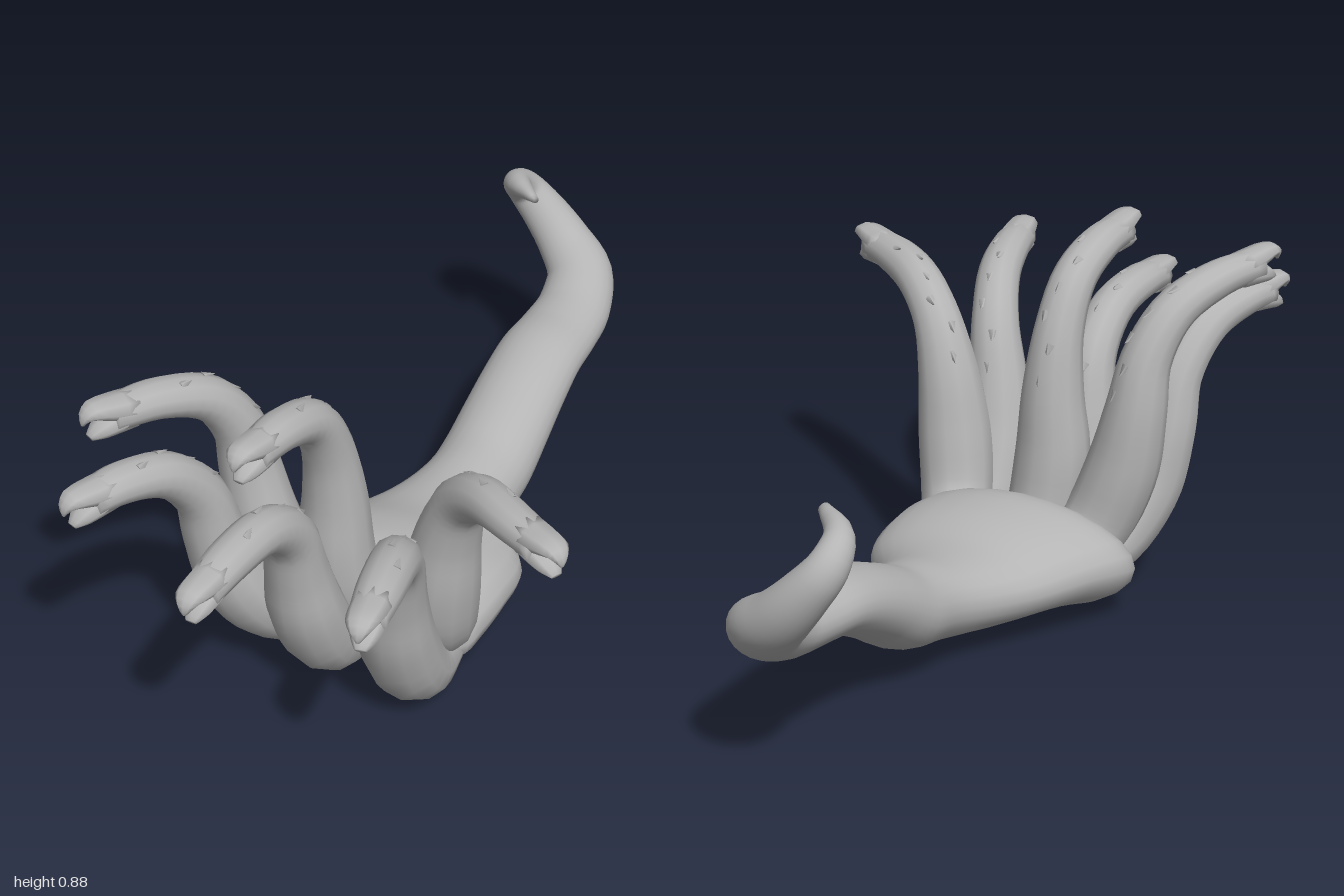
import * as THREE from 'three';

const V = (x, y, z) => new THREE.Vector3(x, y, z);

// Frames along a path of [x, y, z, halfWidth, halfHeight] sections, with the side vector carried along.
function framesAlong(sections, side, count) {
  const path = new THREE.CatmullRomCurve3(sections.map(s => V(s[0], s[1], s[2])));
  const size = new THREE.CatmullRomCurve3(sections.map(s => V(s[3], s[4], 0)), false, 'catmullrom', 0.5);
  const frames = [];
  let carried = side.clone();
  for (let i = 0; i <= count; i++) {
    const t = i / count;
    const dir = path.getTangent(t);
    carried = carried.clone().addScaledVector(dir, -carried.dot(dir)).normalize();
    const r = size.getPoint(t);
    frames.push({
      p: path.getPoint(t), dir, side: carried, up: carried.clone().cross(dir),
      w: Math.max(r.x, 0.002), h: Math.max(r.y, 0.002),
    });
  }
  return frames;
}

// Smooth skin over elliptical rings, closed at both ends.
function skin(frames, radial) {
  const pos = [], idx = [];
  for (const f of frames) {
    for (let j = 0; j < radial; j++) {
      const a = (j / radial) * Math.PI * 2;
      const q = f.p.clone()
        .addScaledVector(f.side, Math.cos(a) * f.w)
        .addScaledVector(f.up, Math.sin(a) * f.h);
      pos.push(q.x, q.y, q.z);
    }
  }
  const last = frames.length - 1;
  for (let i = 0; i < last; i++) {
    for (let j = 0; j < radial; j++) {
      const k = (j + 1) % radial;
      const a = i * radial + j, b = (i + 1) * radial + j;
      const c = i * radial + k, d = (i + 1) * radial + k;
      idx.push(a, b, c, c, b, d);
    }
  }
  const p0 = frames[0].p, p1 = frames[last].p, n = pos.length / 3;
  pos.push(p0.x, p0.y, p0.z, p1.x, p1.y, p1.z);
  for (let j = 0; j < radial; j++) {
    const k = (j + 1) % radial;
    idx.push(n, j, k, n + 1, last * radial + k, last * radial + j);
  }
  const g = new THREE.BufferGeometry();
  g.setAttribute('position', new THREE.Float32BufferAttribute(pos, 3));
  g.setIndex(idx);
  g.computeVertexNormals();
  return g;
}

export function createModel() {
  const model = new THREE.Group();
  const hide = new THREE.MeshStandardMaterial({ color: 0xb4b4b4 });
  hide.name = 'grey hide';

  const add = (parent, name, geometry) => {
    const mesh = new THREE.Mesh(geometry, hide);
    mesh.name = name;
    parent.add(mesh);
    return mesh;
  };

  // Wide, low body running back into the tail that curls up and over
  const trunk = [
    [-0.115, 0.11, 0.33, 0.15, 0.06],
    [-0.115, 0.12, 0.3, 0.275, 0.115],
    [-0.115, 0.14, 0.23, 0.3, 0.138],
    [-0.093, 0.15, 0.12, 0.281, 0.122],
    [-0.068, 0.138, 0, 0.235, 0.106],
    [-0.078, 0.142, -0.1, 0.168, 0.102],
    [-0.083, 0.16, -0.2, 0.126, 0.1],
    [-0.085, 0.182, -0.3, 0.12, 0.098],
    [-0.085, 0.235, -0.4, 0.116, 0.09],
    [-0.087, 0.283, -0.5, 0.112, 0.083],
    [-0.09, 0.316, -0.6, 0.108, 0.074],
    [-0.09, 0.325, -0.7, 0.102, 0.068],
    [-0.095, 0.34, -0.8, 0.095, 0.07],
    [-0.125, 0.385, -0.89, 0.085, 0.07],
    [-0.19, 0.44, -0.93, 0.07, 0.062],
    [-0.255, 0.51, -0.938, 0.058, 0.053],
    [-0.302, 0.575, -0.92, 0.047, 0.044],
    [-0.295, 0.62, -0.865, 0.034, 0.034],
    [-0.21, 0.64, -0.79, 0.01, 0.014],
  ];
  const trunkFrames = framesAlong(trunk, V(1, 0, 0), 72);
  // Keep the broad body rings upright and square to the centre line
  for (const f of trunkFrames) {
    const upright = THREE.MathUtils.smoothstep(f.p.z, -0.4, -0.1);
    f.side.lerp(V(1, 0, 0), upright).normalize();
    f.up.lerp(V(0, 1, 0), upright).normalize();
  }
  add(model, 'bodyAndTail', skin(trunkFrames, 24));

  // Neck paths: three in the back row, three in the front row
  const necks = {
    backRightNeck: [[-0.24, 0.13, 0.25], [-0.28, 0.21, 0.325], [-0.33, 0.35, 0.35], [-0.36, 0.5, 0.355],
      [-0.375, 0.63, 0.375], [-0.41, 0.735, 0.44], [-0.465, 0.79, 0.56], [-0.53, 0.808, 0.715]],
    backMiddleNeck: [[-0.13, 0.13, 0.25], [-0.13, 0.21, 0.325], [-0.14, 0.35, 0.35], [-0.135, 0.5, 0.355],
      [-0.135, 0.65, 0.38], [-0.138, 0.765, 0.445], [-0.14, 0.82, 0.57], [-0.145, 0.832, 0.725]],
    backLeftNeck: [[0.07, 0.13, 0.23], [0.11, 0.21, 0.315], [0.135, 0.35, 0.347], [0.16, 0.5, 0.357],
      [0.205, 0.62, 0.38], [0.29, 0.695, 0.435], [0.4, 0.72, 0.505], [0.53, 0.722, 0.573]],
    frontRightNeck: [[-0.25, 0.11, 0.26], [-0.288, 0.15, 0.39], [-0.335, 0.27, 0.475], [-0.368, 0.41, 0.505],
      [-0.38, 0.54, 0.54], [-0.41, 0.645, 0.63], [-0.45, 0.685, 0.75], [-0.488, 0.685, 0.87]],
    frontMiddleNeck: [[-0.13, 0.095, 0.26], [-0.135, 0.12, 0.4], [-0.138, 0.27, 0.492], [-0.138, 0.4, 0.525],
      [-0.13, 0.53, 0.565], [-0.126, 0.62, 0.67], [-0.125, 0.645, 0.83], [-0.125, 0.632, 0.975]],
    frontLeftNeck: [[0.075, 0.095, 0.26], [0.09, 0.115, 0.395], [0.097, 0.28, 0.492], [0.115, 0.42, 0.53],
      [0.15, 0.56, 0.575], [0.195, 0.65, 0.67], [0.235, 0.685, 0.8], [0.268, 0.685, 0.938]],
  };
  const widths = [0.078, 0.091, 0.093, 0.077, 0.061, 0.055, 0.052, 0.043];
  const heights = [0.078, 0.088, 0.088, 0.075, 0.062, 0.053, 0.045, 0.04];

  for (const [name, points] of Object.entries(necks)) {
    const group = new THREE.Group();
    group.name = name;
    model.add(group);

    const heading = V(...points[7]).sub(V(...points[1])).setY(0).normalize();
    const side = heading.clone().cross(V(0, 1, 0));
    const tip = V(...points[7]);
    const dir = tip.clone().sub(V(...points[6])).normalize();
    const up = side.clone().cross(dir).normalize();

    // Neck, stopping short of the tip at the back of the mouth
    const throat = tip.clone().addScaledVector(dir, -0.045);
    const sections = points.map((p, i) => [...(i === 7 ? throat.toArray() : p), widths[i], heights[i]]);
    const frames = framesAlong(sections, side, 30);
    add(group, 'neck', skin(frames, 12));

    // Jaws: rows of forward, upward, half width, half height from the tip
    const jaw = rows => skin(framesAlong(rows.map(([f, u, w, h]) => [
      ...tip.clone().addScaledVector(dir, f).addScaledVector(up, u).toArray(), w, h,
    ]), side, 8), 8);
    add(group, 'upperJaw', jaw([
      [-0.1, 0.01, 0.044, 0.034], [-0.045, 0.019, 0.042, 0.026],
      [0, 0.025, 0.034, 0.018], [0.02, 0.014, 0.02, 0.011], [0.025, -0.006, 0.004, 0.004],
    ]));
    add(group, 'lowerJaw', jaw([
      [-0.1, -0.01, 0.042, 0.034], [-0.05, -0.02, 0.039, 0.027],
      [-0.018, -0.031, 0.03, 0.02], [0.006, -0.043, 0.014, 0.007],
    ]));

    // Small scales along the nape
    for (let i = 14; i <= 24; i += 2) {
      const f = frames[i];
      const scale = add(group, 'napeScale', new THREE.ConeGeometry(0.014, 0.03, 5));
      const lean = f.up.clone().addScaledVector(f.dir, -1.5).normalize();
      const sway = ((i / 2) % 3 - 1) * 0.014;
      scale.position.copy(f.p).addScaledVector(f.up, f.h - 0.004).addScaledVector(f.side, sway);
      scale.quaternion.setFromUnitVectors(V(0, 1, 0), lean);
    }
  }
  return model;
}
